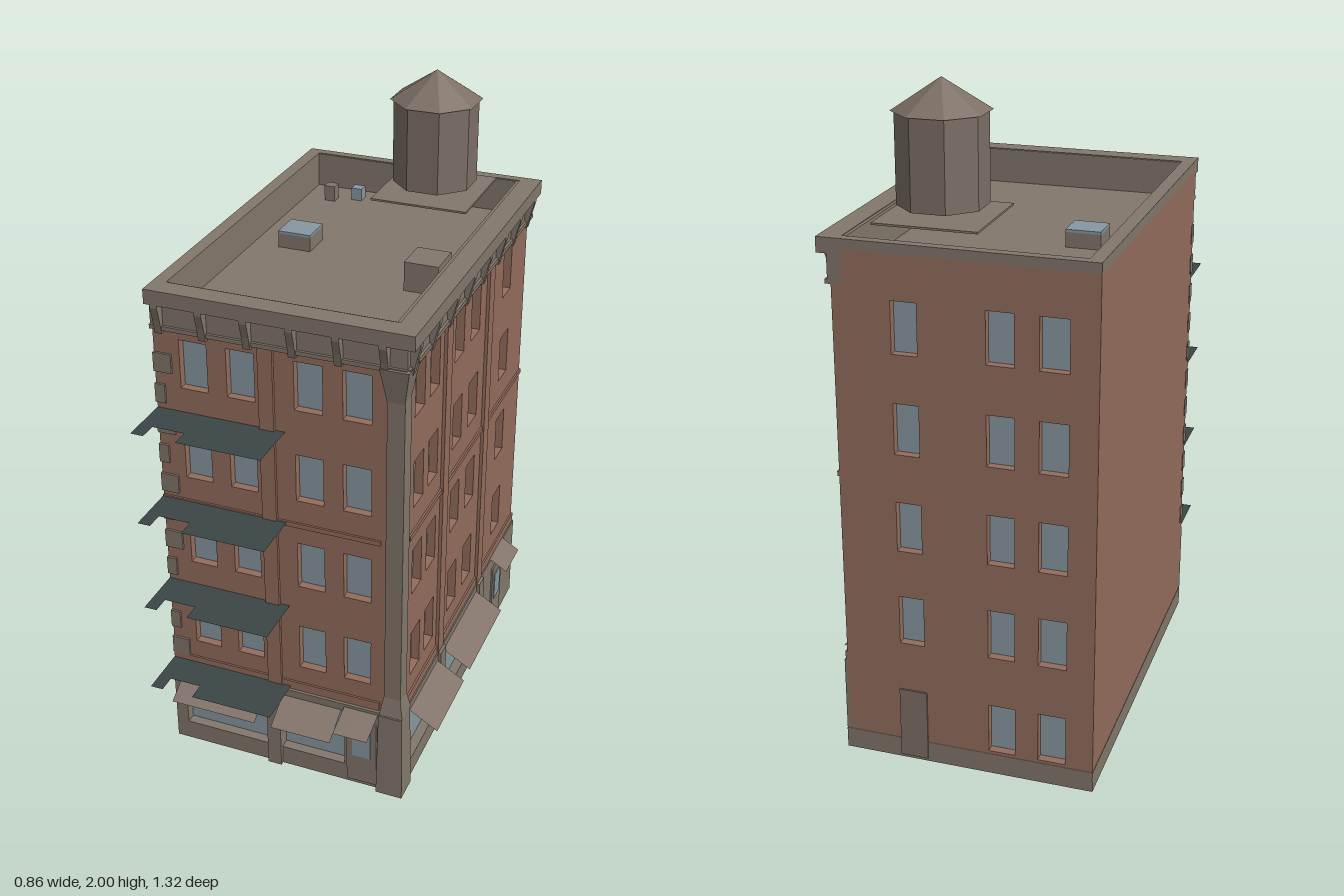
import * as THREE from 'three';

export function createModel() {
  const model = new THREE.Group();
  model.name = 'cornerBuilding';

  const material = (name, color) => {
    const m = new THREE.MeshStandardMaterial({ color });
    m.name = name;
    return m;
  };
  const stone = material('grey stone', 0x82776b);
  const brick = material('red brick', 0x926c5c);
  const glass = material('window glass', 0x8797a1);
  const iron = material('dark iron', 0x3c4646);
  const wood = material('weathered wood', 0x7d6f65);
  const canvas = material('awning canvas', 0x83736a);
  iron.side = THREE.DoubleSide;
  canvas.side = THREE.DoubleSide;

  const add = (parent, name, geometry, mat) => {
    const mesh = new THREE.Mesh(geometry, mat);
    mesh.name = name;
    parent.add(mesh);
    return mesh;
  };
  // Box given by its limits
  const box = (parent, name, mat, x0, x1, y0, y1, z0, z1) =>
    add(parent, name, new THREE.BoxGeometry(x1 - x0, y1 - y0, z1 - z0), mat)
      .position.set((x0 + x1) / 2, (y0 + y1) / 2, (z0 + z1) / 2);
  // Each side is built facing +z and then turned
  const side = (name, angle) => {
    const g = new THREE.Group();
    g.name = name;
    g.rotation.y = angle;
    model.add(g);
    return g;
  };
  const polygon = (pts) => new THREE.Shape(pts.map(([x, y]) => new THREE.Vector2(x, y)));
  const rect = (x0, x1, y0, y1) => polygon([[x0, y0], [x1, y0], [x1, y1], [x0, y1]]);

  // Wall with openings; glass closes each opening behind the reveal
  const wall = (parent, name, mat, [x0, x1, y0, y1], face, holes, depth = 0.03) => {
    const shape = rect(x0, x1, y0, y1);
    holes.forEach((h) => shape.holes.push(rect(...h)));
    const geo = new THREE.ExtrudeGeometry(shape, { depth, bevelEnabled: false });
    add(parent, name, geo, mat).position.z = face - depth;
    holes.forEach((h) => box(parent, 'windowPane', glass, ...h, face - depth - 0.006, face - depth + 0.004));
  };
  const sills = [0.39, 0.69, 0.99, 1.287];
  const windows = (columns) =>
    sills.flatMap((y) => columns.map(([a, b]) => [a, b, y, y + 0.153]));

  const front = side('frontSide', 0);
  const right = side('streetSide', Math.PI / 2);
  const back = side('backSide', Math.PI);
  const left = side('partyWallSide', -Math.PI / 2);

  // Brick walls
  wall(front, 'frontBrickWall', brick, [-0.43, 0.3, 0.3, 1.48], 0.49,
    windows([[-0.35, -0.265], [-0.205, -0.12], [0, 0.085], [0.145, 0.23]]));
  wall(right, 'streetBrickWall', brick, [-0.46, 0.66, 0.3, 1.48], 0.325,
    windows([[-0.405, -0.325], [-0.28, -0.2], [-0.06, 0.022], [0.09, 0.175], [0.41, 0.495]]));
  wall(back, 'backBrickWall', brick, [-0.325, 0.43, 0.065, 1.57], 0.66, [
    ...windows([[-0.155, -0.08], [0.115, 0.195], [0.265, 0.348]]),
    [0.115, 0.195, 0.075, 0.23], [0.265, 0.348, 0.075, 0.23]]);
  box(left, 'partyWall', brick, -0.63, 0.49, 0.065, 1.57, 0.4, 0.43);
  box(left, 'partyWallPlinth', stone, -0.66, 0.5, 0, 0.065, 0.4, 0.431);
  box(back, 'backPlinth', stone, -0.335, 0.43, 0, 0.065, 0.62, 0.661);
  box(back, 'backDoor', wood, -0.16, -0.075, 0.01, 0.235, 0.655, 0.665);

  // Brick pilasters and belt courses
  box(front, 'frontPilaster', brick, -0.105, -0.06, 0.3, 1.475, 0.48, 0.5);
  for (const u of [-0.165, 0.235]) box(right, 'streetPilaster', brick, u, u + 0.05, 0.3, 1.475, 0.31, 0.335);
  for (const y of [0.3, 0.9]) {
    const h = y < 0.5 ? 0.03 : 0.015;
    box(front, 'frontBeltCourse', brick, -0.43, 0.26, y, y + h, 0.48, 0.496);
    box(right, 'streetBeltCourse', brick, -0.44, 0.66, y, y + h, 0.31, 0.331);
  }

  // Alternating corner stones
  for (let i = 0; i < 11; i++) {
    const y = 0.33 + i * 0.1;
    box(front, 'cornerStone', stone, -0.432, i % 2 ? -0.4 : -0.375, y, y + 0.06, 0.465, 0.497);
  }

  // Ground floor shopfronts
  wall(front, 'frontShopWall', stone, [-0.43, 0.3, 0, 0.3], 0.505,
    [[-0.39, -0.105, 0.065, 0.27], [-0.06, 0.15, 0.065, 0.27]], 0.035);
  wall(right, 'streetShopWall', stone, [-0.46, 0.66, 0, 0.3], 0.335,
    [[-0.43, -0.165, 0.065, 0.27], [-0.115, 0.235, 0.065, 0.27]], 0.035);
  box(front, 'shopPier', stone, -0.105, -0.06, 0, 0.3, 0.49, 0.518);
  for (const u of [-0.165, 0.235]) box(right, 'shopPier', stone, u, u + 0.05, 0, 0.3, 0.32, 0.345);
  const door = (parent, a, b, face) => {
    const c = (a + b) / 2;
    box(parent, 'door', stone, a, b, 0.015, 0.25, face - 0.01, face + 0.006);
    box(parent, 'doorGlass', glass, c - 0.03, c + 0.03, 0.115, 0.218, face, face + 0.009);
  };
  door(front, 0.16, 0.257, 0.505);
  door(right, 0.405, 0.505, 0.335);

  // Sloping awnings
  const awning = (parent, a, b, y0, y1, z0, z1) => {
    const geo = new THREE.PlaneGeometry(b - a, Math.hypot(y1 - y0, z1 - z0));
    geo.rotateX(-Math.atan2(z1 - z0, y1 - y0));
    add(parent, 'awning', geo, canvas).position.set((a + b) / 2, (y0 + y1) / 2, (z0 + z1) / 2);
  };
  awning(front, -0.39, -0.11, 0.22, 0.275, 0.505, 0.6);
  awning(front, -0.055, 0.14, 0.22, 0.275, 0.505, 0.6);
  awning(front, 0.15, 0.26, 0.26, 0.29, 0.505, 0.6);
  awning(right, -0.43, -0.17, 0.22, 0.275, 0.335, 0.425);
  awning(right, -0.11, 0.23, 0.22, 0.275, 0.335, 0.425);
  awning(right, 0.39, 0.535, 0.265, 0.3, 0.335, 0.393);

  // Corner pier and column, with flared base and capital
  const flare = (name, bottom, top, y0, y1, x, z) => {
    const geo = new THREE.CylinderGeometry(top * Math.SQRT1_2, bottom * Math.SQRT1_2, y1 - y0, 4)
      .rotateY(Math.PI / 4).toNonIndexed();
    geo.computeVertexNormals();
    add(model, name, geo, stone).position.set(x, (y0 + y1) / 2, z);
  };
  flare('cornerPier', 0.085, 0.075, 0, 0.3, 0.303, 0.48);
  flare('columnBase', 0.075, 0.05, 0.3, 0.37, 0.303, 0.475);
  box(model, 'cornerColumn', stone, 0.278, 0.33, 0.33, 1.4, 0.448, 0.501);
  flare('columnCapital', 0.05, 0.085, 1.37, 1.48, 0.303, 0.475);

  // Cornice with crown moulding and brackets
  const bracket = new THREE.ExtrudeGeometry(
    polygon([[0, 1.46], [0.012, 1.46], [0.02, 1.5], [0.032, 1.545], [0.032, 1.56], [0, 1.56]]),
    { depth: 0.022, bevelEnabled: false }).rotateY(-Math.PI / 2);
  const cornice = (parent, u0, u1, face, count, edge) => {
    box(parent, 'cornice', stone, u0, u1, 1.47, 1.57, face - 0.04, face);
    box(parent, 'corniceLip', stone, u0, u1, 1.47, 1.483, face - 0.04, face + 0.008);
    box(parent, 'corniceCrown', stone, u0, u1, 1.555, 1.6, edge - 0.065, edge);
    for (let i = 0; i < count; i++) {
      const u = u0 + 0.04 + (i / (count - 1)) * (u1 - u0 - 0.09);
      add(parent, 'corniceBracket', bracket, stone).position.set(u, 0, face - 0.003);
    }
  };
  cornice(front, -0.43, 0.335, 0.5, 6, 0.53);
  cornice(right, -0.5, 0.66, 0.335, 8, 0.365);
  box(model, 'crownCorner', stone, 0.3, 0.365, 1.555, 1.6, 0.465, 0.53);

  // Parapet copings, roof and ground slab
  box(model, 'partyWallCoping', stone, -0.43, -0.39, 1.565, 1.6, -0.66, 0.5);
  box(model, 'backCoping', stone, -0.43, 0.335, 1.565, 1.6, -0.66, -0.63);
  box(model, 'streetParapet', stone, 0.29, 0.32, 1.47, 1.598, -0.64, 0.48);
  box(model, 'frontParapet', stone, -0.41, 0.31, 1.47, 1.598, 0.46, 0.49);
  box(model, 'partyParapetLining', stone, -0.402, -0.39, 1.47, 1.598, -0.64, 0.47);
  box(model, 'backParapetLining', stone, -0.4, 0.3, 1.47, 1.598, -0.64, -0.625);
  box(model, 'roof', stone, -0.4, 0.3, 1.475, 1.49, -0.64, 0.47);
  box(model, 'groundSlab', stone, -0.428, 0.333, 0.001, 0.012, -0.658, 0.503);

  // Roof fittings
  box(model, 'skylightCurb', stone, -0.305, -0.2, 1.49, 1.535, -0.2, -0.1);
  box(model, 'skylightGlass', glass, -0.305, -0.2, 1.535, 1.543, -0.2, -0.1);
  box(model, 'roofHatch', stone, 0.16, 0.265, 1.49, 1.58, -0.06, 0.055);
  box(model, 'ventGlass', glass, -0.24, -0.205, 1.49, 1.53, -0.575, -0.54);
  box(model, 'chimneyVent', stone, -0.32, -0.285, 1.49, 1.54, -0.54, -0.505);

  // Eight-sided water tank raised above a thin deck
  const tank = new THREE.Group();
  tank.name = 'waterTank';
  tank.position.set(0.088, 0, -0.415);
  model.add(tank);
  const octagon = (name, top, bottom, y0, y1) => {
    const k = 1 / Math.cos(Math.PI / 8);
    const geo = new THREE.CylinderGeometry(top * k, bottom * k, y1 - y0, 8)
      .rotateY(Math.PI / 8).toNonIndexed();
    geo.computeVertexNormals();
    add(tank, name, geo, wood).position.y = (y0 + y1) / 2;
  };
  octagon('tankBarrel', 0.12, 0.12, 1.65, 1.91);
  octagon('tankRoof', 0, 0.13, 1.91, 2);
  box(tank, 'tankDeck', stone, -0.153, 0.153, 1.618, 1.624, -0.155, 0.155);

  // Fire escape landings with a ladder opening at the outer edge
  const landing = new THREE.ShapeGeometry(polygon([[-0.43, -0.49], [-0.43, -0.655], [-0.39, -0.655],
    [-0.39, -0.6], [-0.29, -0.6], [-0.29, -0.655], [-0.03, -0.655], [-0.03, -0.49]])).rotateX(-Math.PI / 2);
  for (const y of [0.31, 0.61, 0.91, 1.21]) add(front, 'fireEscapeLanding', landing, iron).position.y = y;

  return model;
}
